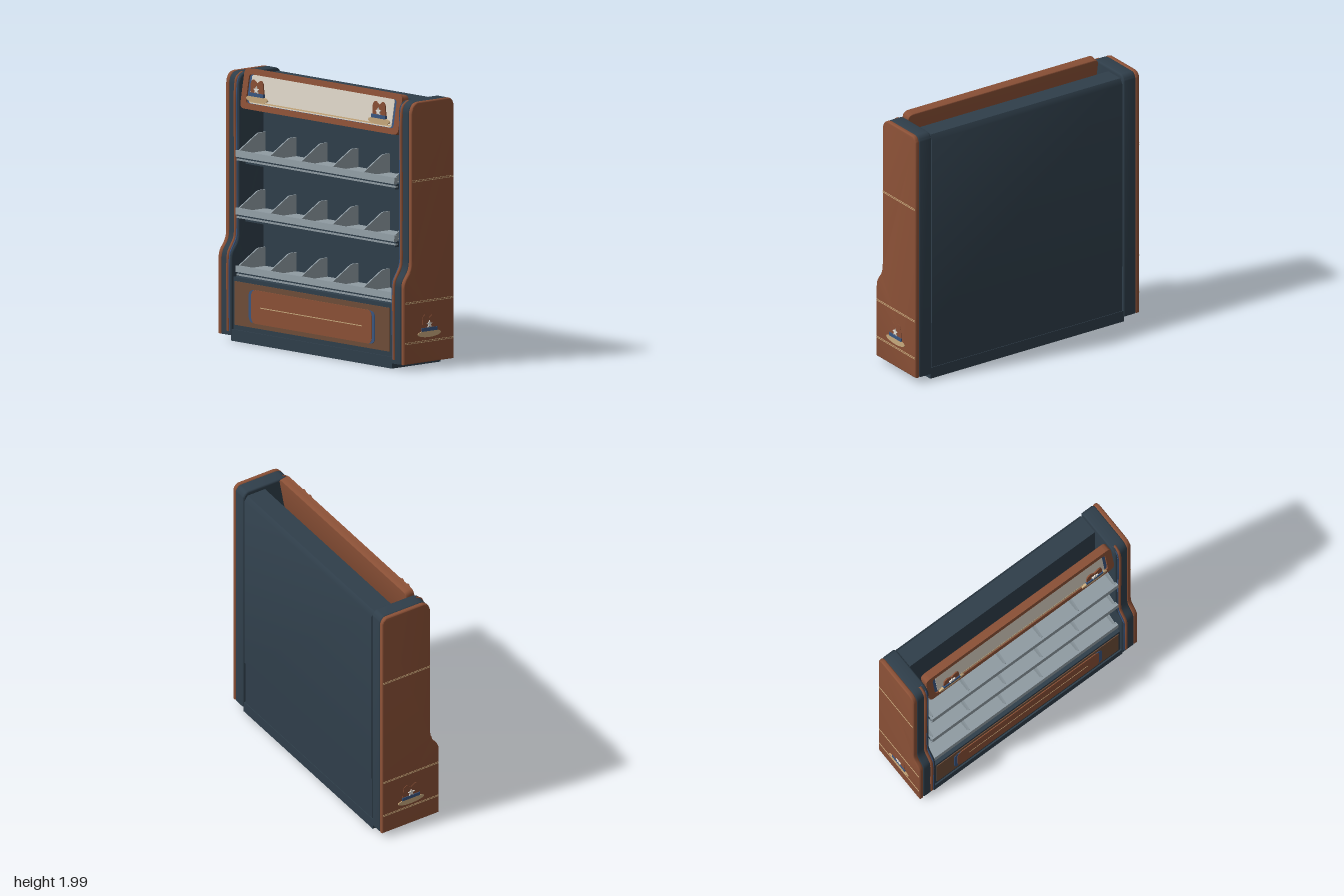
import * as THREE from 'three';
import { toCreasedNormals } from 'three/addons/utils/BufferGeometryUtils.js';

const mat = (name, color) => Object.assign(new THREE.MeshStandardMaterial({ color }), { name });
const M = {
  brown: mat('brown', 0x8a5036),
  wood: mat('dark wood', 0x6e4d38),
  navy: mat('navy', 0x2f3e4a),
  grey: mat('grey metal', 0x8f9ba2),
  cream: mat('cream', 0xd8d0c2),
  tan: mat('tan', 0xc8a97c),
  blue: mat('blue', 0x3a5680),
  white: mat('star white', 0xe4e0d8),
};

function add(parent, name, geometry, material, x = 0, y = 0, z = 0) {
  const mesh = new THREE.Mesh(geometry, material);
  mesh.name = name;
  mesh.position.set(x, y, z);
  parent.add(mesh);
  return mesh;
}

// Box given by its limits
function box(parent, name, material, [x0, x1], [y0, y1], [z0, z1]) {
  return add(parent, name, new THREE.BoxGeometry(x1 - x0, y1 - y0, z1 - z0), material,
    (x0 + x1) / 2, (y0 + y1) / 2, (z0 + z1) / 2);
}

function roundedRect(w, h, r, target = new THREE.Shape()) {
  const x = w / 2, y = h / 2;
  target.moveTo(-x + r, -y);
  target.lineTo(x - r, -y).quadraticCurveTo(x, -y, x, -y + r);
  target.lineTo(x, y - r).quadraticCurveTo(x, y, x - r, y);
  target.lineTo(-x + r, y).quadraticCurveTo(-x, y, -x, y - r);
  target.lineTo(-x, -y + r).quadraticCurveTo(-x, -y, -x + r, -y);
  return target;
}

// Extrusion along +z from 0 to depth, with an optional inward bevel
function extrude(shape, depth, bevel = 0) {
  const geometry = new THREE.ExtrudeGeometry(shape, {
    depth: depth - 2 * bevel, curveSegments: 8, bevelEnabled: bevel > 0,
    bevelThickness: bevel, bevelSize: bevel, bevelOffset: -bevel, bevelSegments: 3,
  });
  geometry.translate(0, 0, bevel);
  return toCreasedNormals(geometry, 0.6);
}

// Outline drawn in (z, y), extruded from x0 to x1
function sideExtrude(shape, x0, x1, bevel) {
  return extrude(shape, x1 - x0, bevel).rotateY(-Math.PI / 2).translate(x1, 0, 0);
}

// Stepped outline of the side columns
function columnShape() {
  const s = new THREE.Shape();
  s.moveTo(-0.25, 0.04);
  s.lineTo(0.24, 0.04);
  s.lineTo(0.24, 0.6);
  s.bezierCurveTo(0.24, 0.69, 0.165, 0.68, 0.165, 0.8);
  s.lineTo(0.165, 1.87);
  s.quadraticCurveTo(0.16, 1.95, 0.09, 1.955);
  s.lineTo(-0.2, 1.955);
  s.quadraticCurveTo(-0.235, 1.955, -0.25, 1.91);
  return s;
}

// Trim that follows the front edge of a column
function trim(x, radius) {
  const pts = [[0.238, 0.07], [0.24, 0.3], [0.24, 0.58], [0.232, 0.645], [0.202, 0.695], [0.172, 0.75],
    [0.165, 0.82], [0.165, 1.3], [0.165, 1.85], [0.15, 1.92], [0.1, 1.95]];
  const curve = new THREE.CatmullRomCurve3(pts.map(([z, y]) => new THREE.Vector3(x, y, z)));
  return new THREE.TubeGeometry(curve, 70, radius, 8);
}

// Flat hat emblem facing +z, origin at the middle of the brim
function hat() {
  const g = new THREE.Group();
  g.name = 'hatEmblem';
  const crown = new THREE.Shape();
  crown.moveTo(-0.073, 0.01);
  crown.lineTo(0.073, 0.01);
  crown.lineTo(0.066, 0.11);
  crown.quadraticCurveTo(0.055, 0.143, 0.035, 0.14);
  crown.lineTo(0, 0.115);
  crown.lineTo(-0.035, 0.14);
  crown.quadraticCurveTo(-0.055, 0.143, -0.066, 0.11);
  add(g, 'hatCrown', extrude(crown, 0.006), M.brown);
  const brim = new THREE.Shape().absellipse(0, 0, 0.113, 0.027, 0, Math.PI * 2);
  add(g, 'hatBrim', extrude(brim, 0.009), M.tan);
  box(g, 'hatBand', M.blue, [-0.075, 0.075], [0.018, 0.044], [0, 0.011]);
  const star = new THREE.Shape();
  for (let i = 0; i < 10; i++) {
    const r = i % 2 ? 0.013 : 0.03, a = Math.PI / 2 + i * Math.PI / 5;
    star[i ? 'lineTo' : 'moveTo'](r * Math.cos(a), r * Math.sin(a));
  }
  add(g, 'hatStar', extrude(star, 0.006), M.white, 0, 0.068, 0.006);
  return g;
}

function shelf(y) {
  const g = new THREE.Group();
  g.name = 'shelf';
  box(g, 'shelfPlate', M.grey, [-0.845, 0.845], [-0.04, -0.027], [-0.075, 0.19]);
  const lip = box(g, 'shelfLip', M.grey, [-0.85, 0.85], [-0.045, 0.002], [0.172, 0.202]);
  lip.rotation.x = -0.1;
  box(g, 'shelfRail', M.navy, [-0.85, 0.85], [-0.058, -0.045], [-0.07, 0.185]);
  box(g, 'railStrip', M.grey, [-0.85, 0.85], [-0.071, -0.058], [0.165, 0.192]);
  box(g, 'shelfBracket', M.navy, [-0.8, 0.8], [-0.095, -0.058], [-0.07, 0.15]);
  // Sloped dividers
  const s = new THREE.Shape();
  s.moveTo(-0.075, -0.03);
  s.lineTo(0.18, -0.03);
  s.lineTo(0.18, 0.005);
  s.lineTo(0.01, 0.105);
  s.quadraticCurveTo(-0.005, 0.112, -0.02, 0.112);
  s.lineTo(-0.075, 0.112);
  for (const x of [-0.832, -0.5, -0.167, 0.167, 0.5, 0.832]) {
    add(g, 'divider', sideExtrude(s, x - 0.006, x + 0.006, 0), M.grey);
  }
  g.position.y = y;
  return g;
}

export function createModel() {
  const model = new THREE.Group();
  model.name = 'displayShelf';

  // Plinth, lower cabinet and back wall
  box(model, 'plinth', M.navy, [-0.86, 0.86], [0, 0.085], [-0.245, 0.235]);
  box(model, 'lowerCabinet', M.navy, [-0.845, 0.845], [0.085, 0.47], [-0.24, 0.224]);
  const wall = new THREE.Shape();
  wall.moveTo(-0.245, 0.44);
  wall.lineTo(-0.07, 0.44);
  wall.lineTo(-0.07, 1.93);
  wall.lineTo(-0.22, 1.93);
  wall.lineTo(-0.245, 1.89);
  add(model, 'backWall', sideExtrude(wall, -0.845, 0.845, 0), M.navy);

  // Front panel of the lower cabinet
  box(model, 'woodPanel', M.wood, [-0.83, 0.83], [0.12, 0.44], [0.22, 0.23]);
  add(model, 'panelEnds', extrude(roundedRect(1.35, 0.24, 0.05), 0.004), M.blue, 0, 0.277, 0.23);
  add(model, 'panelCentre', extrude(roundedRect(1.29, 0.246, 0.05), 0.007), M.brown, 0, 0.277, 0.23);
  box(model, 'panelLine', M.tan, [-0.545, 0.545], [0.273, 0.279], [0.236, 0.239]);

  for (const y of [1.39, 0.968, 0.546]) model.add(shelf(y));

  // Side columns with trims, stripes and emblems
  for (const s of [-1, 1]) {
    const g = new THREE.Group();
    g.name = s > 0 ? 'leftColumn' : 'rightColumn';
    const span = (a, b) => (s > 0 ? [a, b] : [-b, -a]);
    add(g, 'columnBody', sideExtrude(columnShape(), ...span(0.853, 0.964), 0.012), M.navy);
    add(g, 'outerPanel', sideExtrude(columnShape(), ...span(0.96, 0.996), 0.01), M.brown);
    add(g, 'frontTrim', trim(s * 0.889, 0.012), M.brown);
    add(g, 'innerTrim', trim(s * 0.873, 0.006), M.blue);
    for (const [y, front] of [[1.378, 0.158], [0.49, 0.232], [0.195, 0.232]]) {
      for (const dy of [-0.005, 0.005]) {
        box(g, 'sideStripe', M.tan, span(0.994, 0.998), [y + dy - 0.002, y + dy + 0.002], [-0.243, front]);
      }
    }
    const emblem = hat();
    emblem.rotation.y = s * Math.PI / 2;
    emblem.position.set(s * 0.993, 0.25, -0.005);
    g.add(emblem);
    model.add(g);
  }

  // Tilted header sign
  const header = new THREE.Group();
  header.name = 'header';
  header.position.set(0, 1.84, 0.106);
  header.rotation.x = -0.17;
  add(header, 'headerBack', extrude(roundedRect(1.69, 0.295, 0.045), 0.055, 0.006), M.brown, 0, 0, -0.034);
  const rim = roundedRect(1.69, 0.295, 0.045);
  rim.holes.push(roundedRect(1.58, 0.214, 0.03, new THREE.Path()));
  add(header, 'headerRim', extrude(rim, 0.02), M.brown, 0, 0, 0.014);
  add(header, 'signEnds', extrude(roundedRect(1.575, 0.21, 0.03), 0.004), M.blue, 0, 0.001, 0.021);
  add(header, 'signFace', extrude(roundedRect(1.525, 0.208, 0.02), 0.008), M.cream, 0, 0.002, 0.021);
  box(header, 'signLine', M.tan, [-0.76, 0.76], [-0.094, -0.084], [0.026, 0.031]);
  model.add(header);

  // Hats on the sign
  for (const x of [-0.653, 0.653]) {
    const emblem = hat();
    emblem.position.set(x, 1.786, 0.163);
    emblem.scale.z = 1.6;
    model.add(emblem);
  }
  return model;
}
